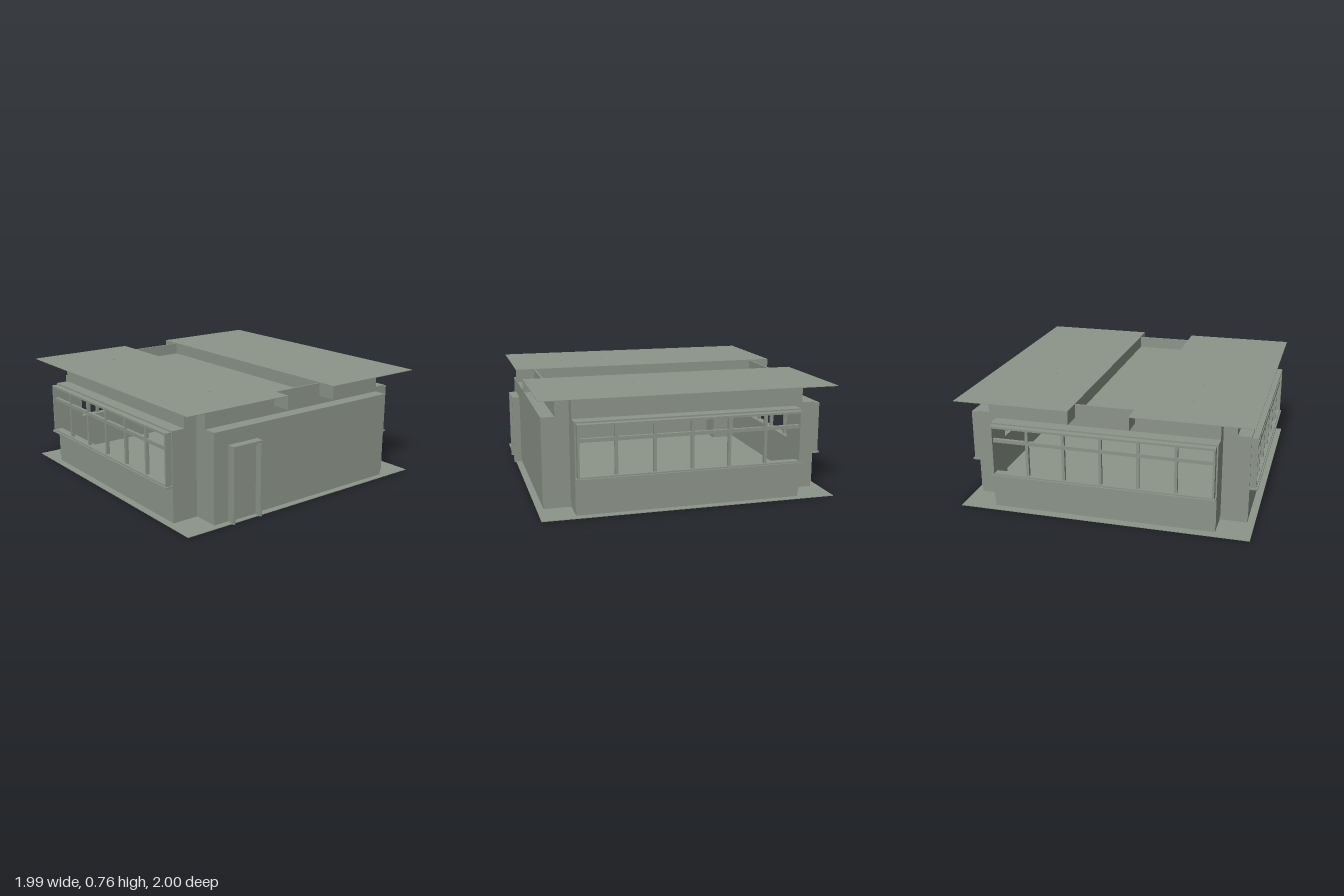
import * as THREE from 'three';

export function createModel() {
  const house = new THREE.Group();
  house.name = 'pavilion';
  const stone = new THREE.MeshStandardMaterial({ color: 0x8c9489 });
  stone.name = 'greyGreenStone';

  // Box given by its min and max on each axis
  function box(parent, name, x0, x1, y0, y1, z0, z1) {
    const m = new THREE.Mesh(new THREE.BoxGeometry(x1 - x0, y1 - y0, z1 - z0), stone);
    m.position.set((x0 + x1) / 2, (y0 + y1) / 2, (z0 + z1) / 2);
    m.name = name;
    parent.add(m);
    return m;
  }

  const T = 0.012;      // wall thickness
  const W = 0.76;       // half width of each wing
  const LOW = 0.942;    // reach of the lower wing
  const UP = 0.852;     // reach of the upper wing
  const SHELF = 0.61;   // top of the lower wing
  const ROOF = 0.757;
  const SILL = 0.25;

  // Projecting window with six bays and a transom
  function addWindow(wing) {
    const win = new THREE.Group();
    win.name = 'window';
    const out = 0.985, half = 0.75, top = 0.6;
    box(win, 'sill', -W, W, SILL - 0.006, SILL + 0.004, LOW - T, 0.995);
    box(win, 'frameBottom', -half, half, SILL + 0.004, SILL + 0.014, LOW - T, out);
    box(win, 'frameTop', -half, half, top - 0.014, top, LOW - T, out);
    box(win, 'transom', -half, half, 0.484, 0.508, 0.95, 0.972);
    for (const s of [-1, 1]) {
      const x = s * (half - 0.007);
      box(win, 'frameSide', x - 0.007, x + 0.007, SILL, top, LOW - T, out);
    }
    for (let i = -2; i <= 2; i++) {
      const x = i * 0.25;
      box(win, 'mullion', x - 0.01, x + 0.01, SILL, top, 0.95, 0.972);
    }
    wing.add(win);
  }

  // One wing of the cross-shaped plan, facing +z before it is turned
  function addWing(name, angle, hasWindow) {
    const wing = new THREE.Group();
    wing.name = name;
    const wallTop = hasWindow ? SILL : SHELF;
    box(wing, 'plinth', -W + 0.004, W - 0.004, 0, 0.04, LOW - T, LOW - 0.004);
    box(wing, 'lowerWall', -W, W, 0.04, wallTop, LOW - T, LOW);
    if (hasWindow) box(wing, 'windowHeader', -W, W, 0.6, SHELF, LOW - T, LOW);
    box(wing, 'shelf', -W, W, SHELF - 0.006, SHELF, UP - T, LOW);
    box(wing, 'upperWall', -W, W, SHELF, ROOF, UP - T, UP);
    for (const s of [-1, 1]) {
      const a = s * W, b = s * (W - T);
      const x0 = Math.min(a, b), x1 = Math.max(a, b);
      box(wing, 'lowerReturn', x0, x1, 0.04, SHELF, W - T, LOW);
      box(wing, 'plinthReturn', x0 - s * 0.004, x1 - s * 0.004, 0, 0.04, W - T, LOW - 0.004);
      box(wing, 'upperReturn', x0, x1, SHELF, ROOF, W - T, UP);
    }
    if (hasWindow) addWindow(wing);
    wing.rotation.y = angle;
    house.add(wing);
    return wing;
  }

  const front = addWing('frontWing', 0, false);
  addWing('leftWing', Math.PI / 2, true);
  addWing('backWing', Math.PI, true);
  addWing('rightWing', -Math.PI / 2, true);

  // Door with a projecting surround
  const door = new THREE.Group();
  door.name = 'door';
  box(door, 'doorPanel', -0.64, -0.43, 0, 0.5, LOW, 0.948);
  box(door, 'jamb', -0.65, -0.637, 0, 0.512, LOW, 0.998);
  box(door, 'jamb', -0.432, -0.419, 0, 0.512, LOW, 0.998);
  box(door, 'lintel', -0.65, -0.419, 0.5, 0.512, LOW, 0.998);
  front.add(door);

  // Ground sheet and roof sheets with a sunken channel between them
  const X = 0.988, ZB = -0.997, ZF = 0.983;
  box(house, 'ground', -X, X, 0, 0.004, ZB, ZF);
  box(house, 'channelFloor', -0.2, 0.2, 0.668, 0.674, -UP, UP);
  for (const s of [-1, 1]) {
    const c = s * (X + 0.2) / 2, h = (X - 0.2) / 2;
    box(house, 'roofSheet', c - h, c + h, ROOF, ROOF + 0.004, ZB, ZF);
    box(house, 'channelWall', s * 0.202 - 0.002, s * 0.202 + 0.002, 0.668, ROOF + 0.003, ZB, ZF);
    // Small roof pins
    for (const z of [-0.61, -0.28, 0.28, 0.6]) {
      const pin = new THREE.Mesh(new THREE.CylinderGeometry(0.004, 0.004, 0.012, 8), stone);
      pin.position.set(s * 0.535, ROOF + 0.002, z);
      pin.name = 'roofPin';
      house.add(pin);
    }
  }

  house.position.set(-0.003, 0, -0.003);
  const model = new THREE.Group();
  model.name = 'model';
  model.add(house);
  return model;
}
